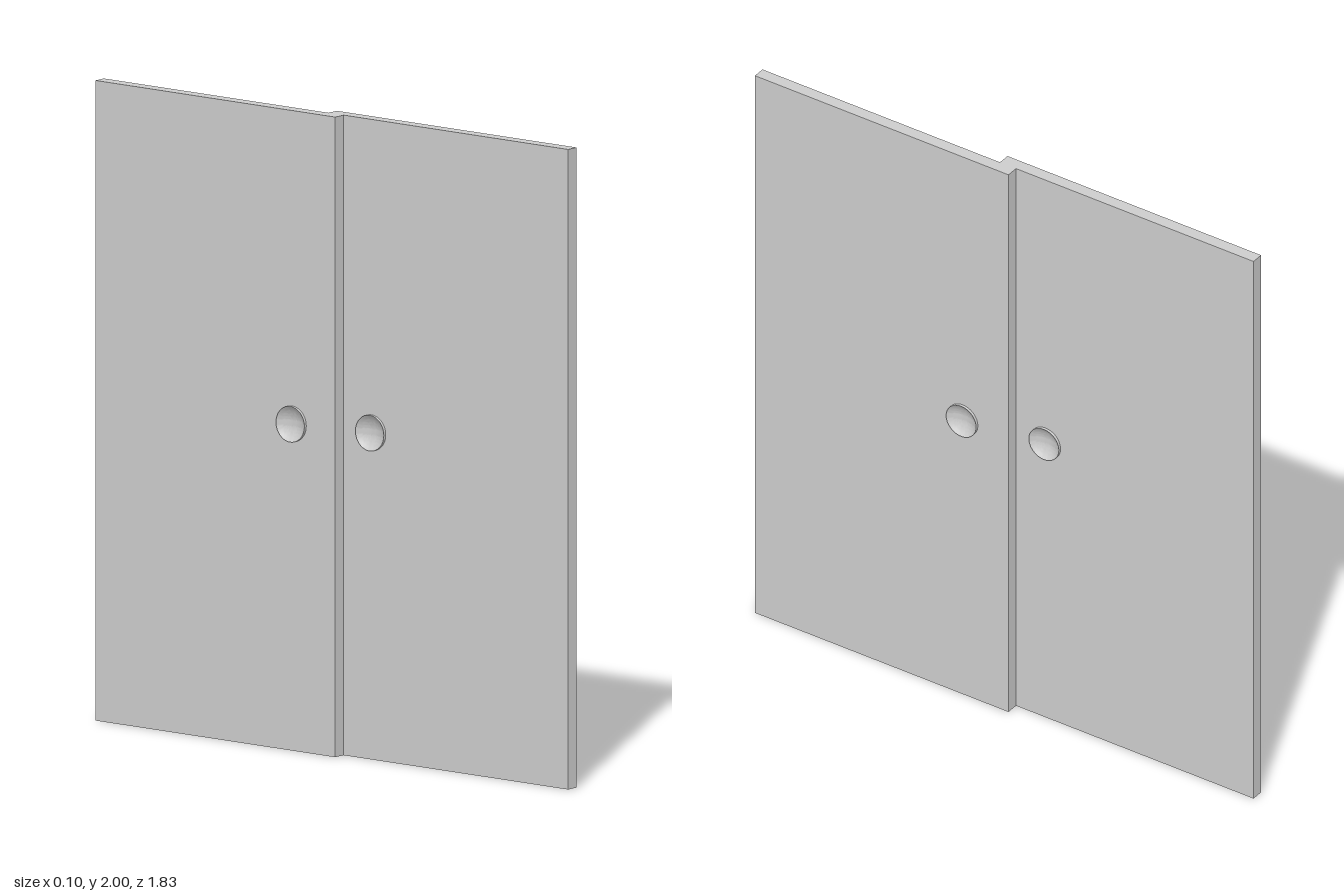
import * as THREE from 'three';
import { toCreasedNormals } from 'three/addons/utils/BufferGeometryUtils.js';

const HEIGHT = 2, THICK = 0.041;
const Z_IN = -0.03, Z_OUT = 0.915;       // inner and outer edge of one door
const PULL = { y: 1.021, z: 0.14, r: 0.056, half: 0.03, depth: 0.022 };

// Upright slab with a round hole for the finger pull
function panelGeometry() {
  const shape = new THREE.Shape();
  shape.moveTo(-Z_OUT, 0);
  shape.lineTo(-Z_IN, 0);
  shape.lineTo(-Z_IN, HEIGHT);
  shape.lineTo(-Z_OUT, HEIGHT);
  shape.closePath();
  const hole = new THREE.Path();
  hole.absarc(-PULL.z, PULL.y, PULL.r - 0.001, 0, Math.PI * 2, true);
  shape.holes.push(hole);
  const geo = new THREE.ExtrudeGeometry(shape, { depth: THICK, bevelEnabled: false, curveSegments: 32 });
  return geo.rotateY(Math.PI / 2);
}

// Disc hollowed into a shallow spherical bowl on both faces
function pullGeometry() {
  const { r, half, depth } = PULL;
  const sphere = (r * r + depth * depth) / (2 * depth);
  const maxAngle = Math.asin(r / sphere);
  const steps = 10;
  const bowl = [];
  for (let i = 0; i <= steps; i++) {
    const a = (maxAngle * i) / steps;
    bowl.push(new THREE.Vector2(sphere * Math.sin(a), half - depth + sphere * (1 - Math.cos(a))));
  }
  const profile = [
    ...bowl.map((p) => new THREE.Vector2(p.x, -p.y)),
    ...bowl.slice().reverse(),
  ];
  const geo = new THREE.LatheGeometry(profile, 48).rotateZ(-Math.PI / 2);
  return toCreasedNormals(geo, 0.6);
}

export function createModel() {
  const grey = new THREE.MeshStandardMaterial({ color: 0xcccccc });
  grey.name = 'light grey';
  const panelGeo = panelGeometry();
  const pullGeo = pullGeometry();

  const model = new THREE.Group();
  model.name = 'slidingDoors';

  // The two doors are the same, turned half a circle about the centre
  ['frontDoor', 'backDoor'].forEach((name, i) => {
    const door = new THREE.Group();
    door.name = name;
    const panel = new THREE.Mesh(panelGeo, grey);
    panel.name = 'panel';
    const pull = new THREE.Mesh(pullGeo, grey);
    pull.name = 'fingerPull';
    pull.position.set(THICK / 2, PULL.y, PULL.z);
    door.add(panel, pull);
    door.rotation.y = i * Math.PI;
    model.add(door);
  });
  return model;
}
